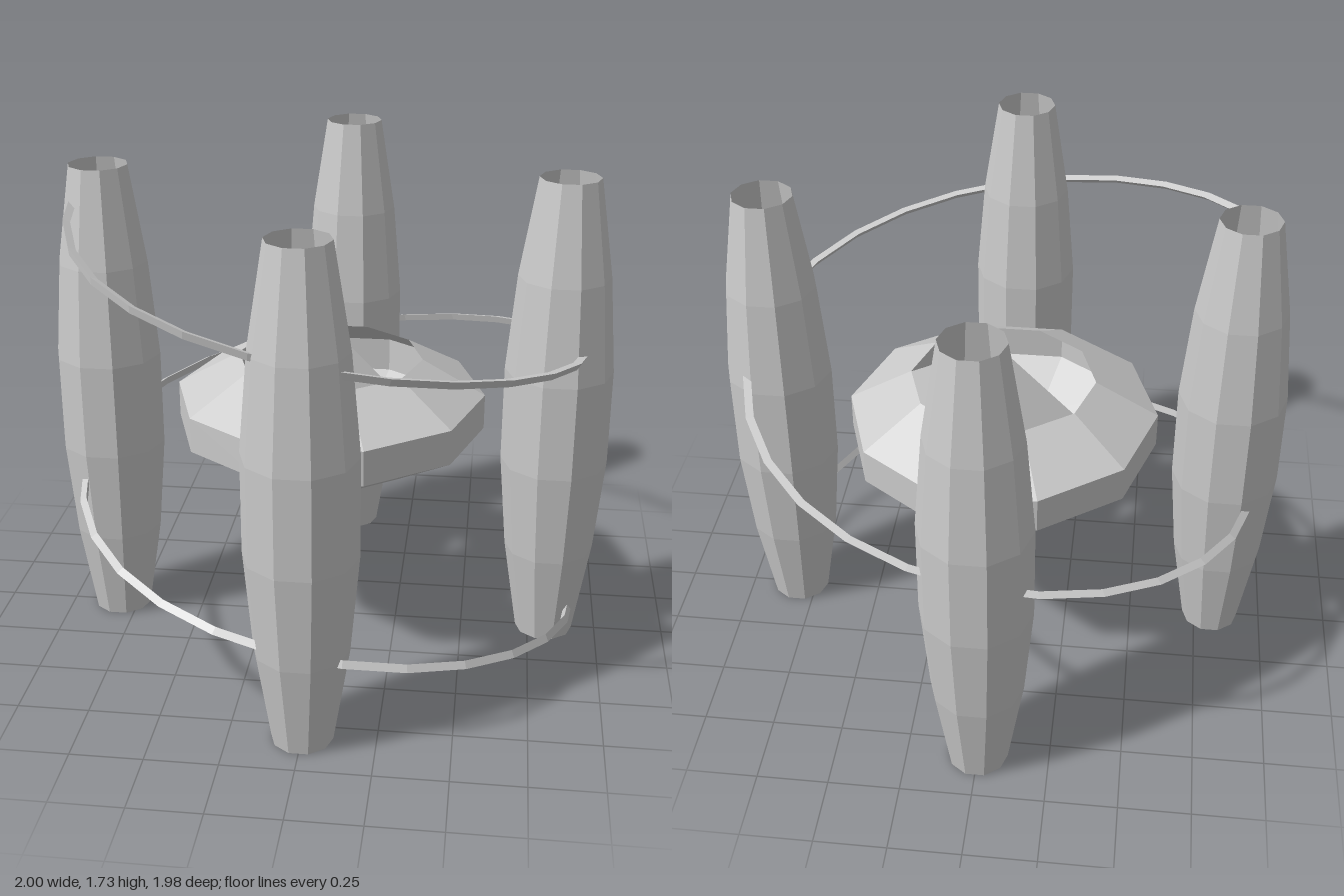
import * as THREE from 'three';

const SIDES = 10;
const MID_Y = 0.865;

const material = new THREE.MeshStandardMaterial({
  color: 0xcccccc, flatShading: true, side: THREE.DoubleSide,
});

// Open ten-sided barrel with a corner on the x axis; profile is [radius, y] from bottom to top
function barrel(name, profile) {
  const points = profile.map(([r, y]) => new THREE.Vector2(r, y));
  const mesh = new THREE.Mesh(new THREE.LatheGeometry(points, SIDES, Math.PI / 2), material);
  mesh.name = name;
  return mesh;
}

// Descending spiral that starts at -x and passes the front first
class Helix extends THREE.Curve {
  constructor(radius, topY, drop, turns) {
    super();
    Object.assign(this, { radius, topY, drop, turns });
  }

  getPoint(t, target = new THREE.Vector3()) {
    const a = t * this.turns * Math.PI * 2;
    return target.set(-this.radius * Math.cos(a), this.topY - this.drop * t, this.radius * Math.sin(a));
  }
}

export function createModel() {
  const model = new THREE.Group();
  model.name = 'station';

  // Four hollow outer pillars
  const pillarRadii = [0.105, 0.16, 0.19, 0.19, 0.16, 0.105];
  const pillarProfile = pillarRadii.map((r, i) => [r, (i / 5) * 2 * MID_Y]);
  for (const [name, x, z] of [
    ['frontPillar', 0, 1], ['leftPillar', 1, 0], ['backPillar', 0, -1], ['rightPillar', -1, 0],
  ]) {
    const pillar = barrel(name, pillarProfile);
    pillar.position.set(x * 0.81, 0, z * 0.81);
    model.add(pillar);
  }

  // Central hollow ring
  const ring = barrel('centralRing', [[0.33, -0.19], [0.555, -0.063], [0.555, 0.063], [0.33, 0.19]]);
  ring.position.y = MID_Y;
  model.add(ring);

  // Crystal core
  const core = new THREE.Mesh(new THREE.OctahedronGeometry(0.3), material);
  core.name = 'crystalCore';
  core.position.y = MID_Y;
  model.add(core);

  // Thin three-sided cable spiralling through the pillars
  const cable = new THREE.Mesh(
    new THREE.TubeGeometry(new Helix(0.9, 1.615, 1.5, 1.5), 40, 0.016, 3), material);
  cable.name = 'spiralCable';
  model.add(cable);

  return model;
}
